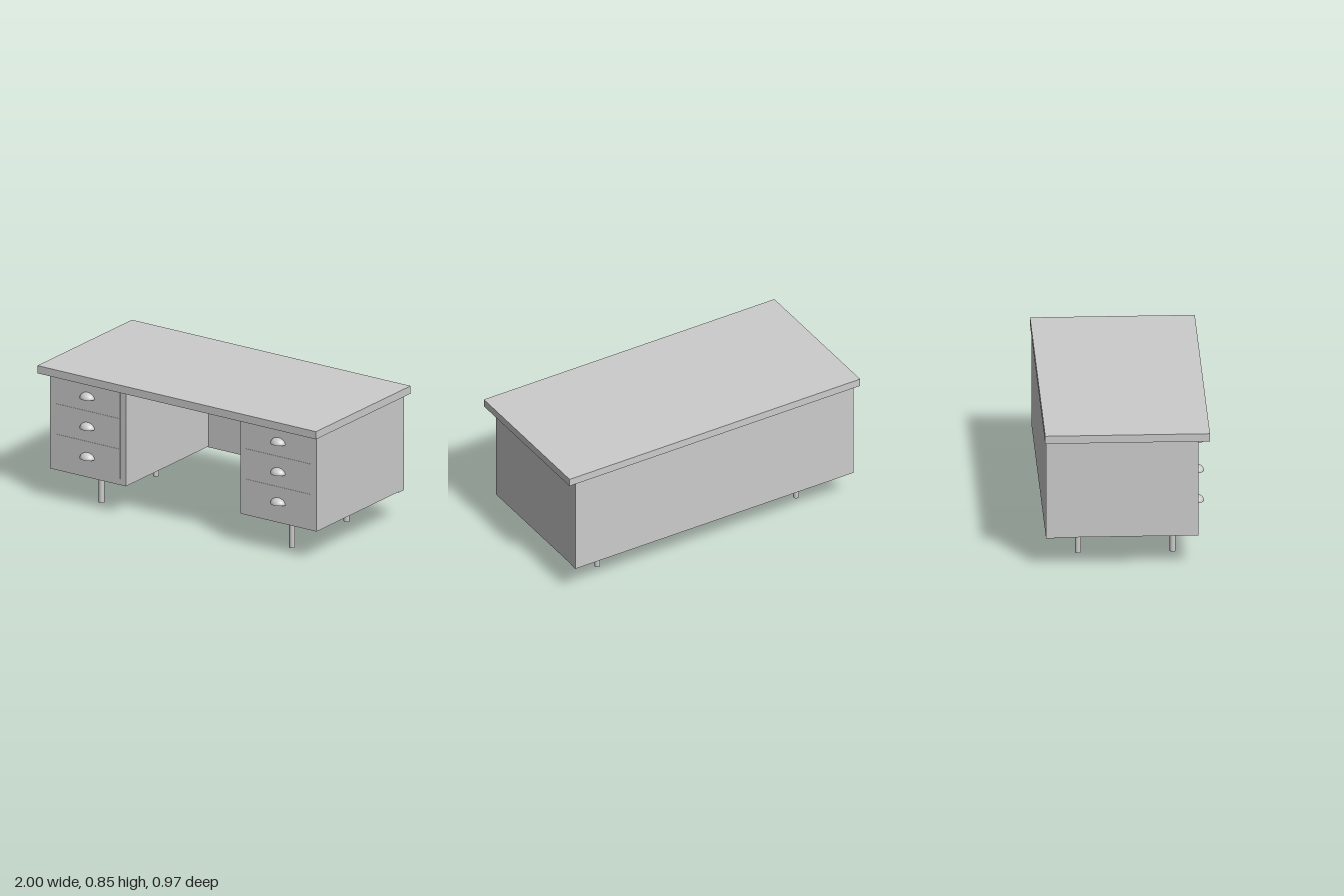
import * as THREE from 'three';

const material = new THREE.MeshStandardMaterial({ color: 0xcccccc });
const shellMaterial = new THREE.MeshStandardMaterial({ color: 0xcccccc, side: THREE.DoubleSide });

// Box given by its minimum and maximum corners
function box(name, [x0, y0, z0], [x1, y1, z1]) {
  const mesh = new THREE.Mesh(new THREE.BoxGeometry(x1 - x0, y1 - y0, z1 - z0), material);
  mesh.name = name;
  mesh.position.set((x0 + x1) / 2, (y0 + y1) / 2, (z0 + z1) / 2);
  return mesh;
}

const BOTTOM = 0.195, TOP = 0.8, FRONT = 0.418, BACK = -0.428;
const HALF_WIDTH = 0.2725, DRAWER_HALF = 0.2325, DRAWER_HEIGHT = 0.19, GAP = 0.001;

// Quarter-dome cup pull, open underneath
const pullGeometry = new THREE.SphereGeometry(1, 32, 12, 0, Math.PI, 0, Math.PI / 2);
pullGeometry.scale(0.05, 0.037, 0.043);
const legGeometry = new THREE.CylinderGeometry(0.0175, 0.0175, BOTTOM, 24);

// Drawer pedestal centred on x = 0, with its drawers, pulls and legs
function createPedestal(name) {
  const pedestal = new THREE.Group();
  pedestal.name = name;
  pedestal.add(box('cabinet', [-HALF_WIDTH, BOTTOM, BACK], [HALF_WIDTH, TOP, FRONT]));

  for (let i = 0; i < 3; i++) {
    const y1 = TOP - i * DRAWER_HEIGHT, y0 = y1 - DRAWER_HEIGHT;
    pedestal.add(box('drawerFront',
      [-DRAWER_HALF, y0 + GAP, FRONT - 0.01], [DRAWER_HALF, y1 - GAP, FRONT + 0.002]));
    const pull = new THREE.Mesh(pullGeometry, shellMaterial);
    pull.name = 'cupPull';
    pull.position.set(0, 0.69 - i * 0.188, FRONT + 0.002);
    pedestal.add(pull);
  }

  for (const z of [0.279, -0.279]) {
    const leg = new THREE.Mesh(legGeometry, material);
    leg.name = 'leg';
    leg.position.set(0, BOTTOM / 2, z);
    pedestal.add(leg);
  }
  return pedestal;
}

export function createModel() {
  const desk = new THREE.Group();
  desk.name = 'desk';

  desk.add(box('tabletop', [-1, TOP, -0.485], [1, 0.848, 0.485]));
  desk.add(box('backPanel', [-0.957, 0.19, -0.478], [0.957, TOP, BACK]));

  for (const side of [1, -1]) {
    const pedestal = createPedestal(side > 0 ? 'leftPedestal' : 'rightPedestal');
    pedestal.position.x = side * 0.6845;
    desk.add(pedestal);
  }
  return desk;
}
